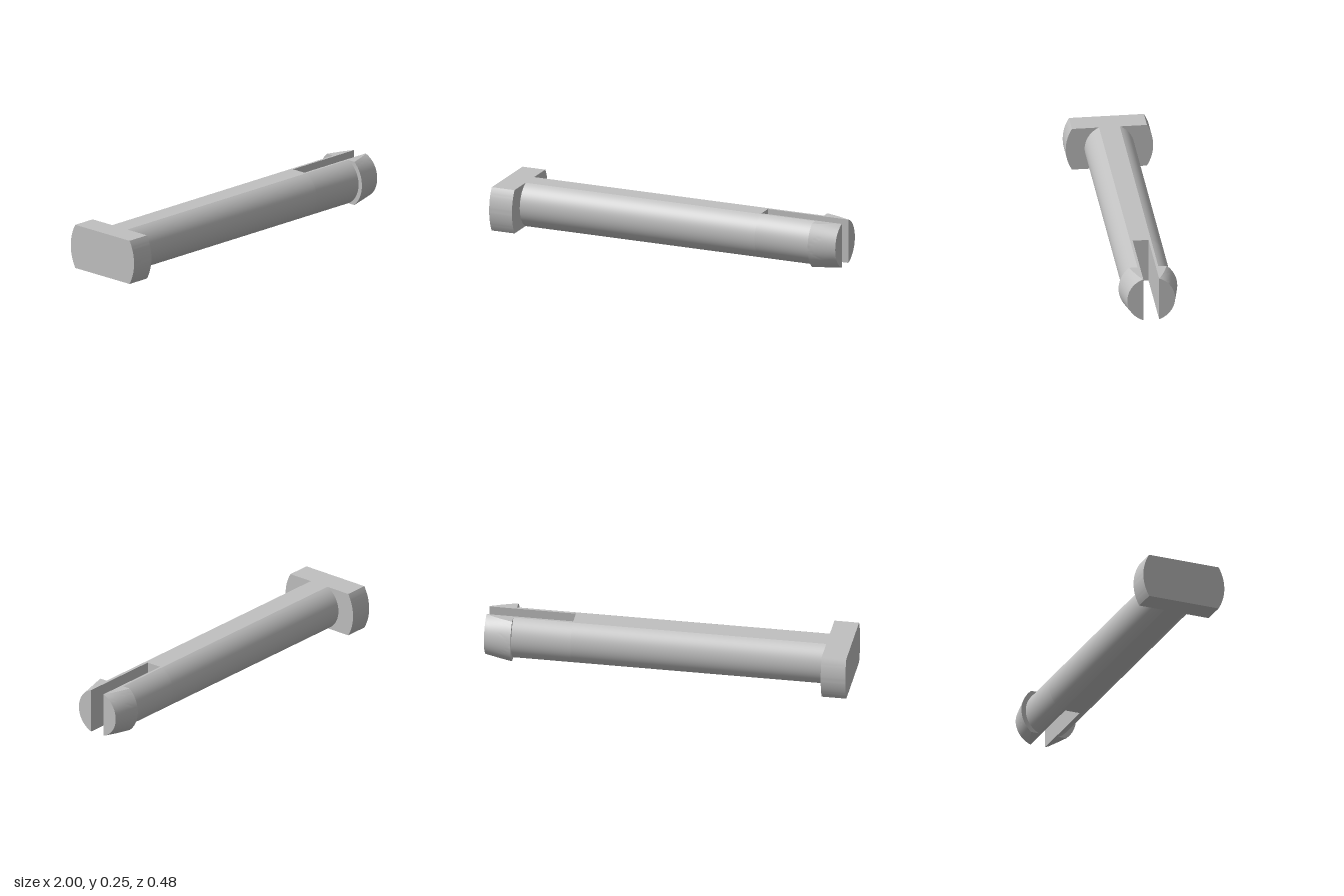
import * as THREE from 'three';
import { toCreasedNormals } from 'three/addons/utils/BufferGeometryUtils.js';

const H = 0.1225;    // half height between the two flats
const GAP = 0.043;   // half width of the slot
const STEPS = 28;

// Points [y, z] of a round section cut flat at y = +-H; a split one keeps only z > GAP
function section(r, split) {
  const a0 = Math.acos(H / r);
  const pts = [];
  const arc = (start) => {
    for (let i = 0; i <= STEPS; i++) {
      const a = start + a0 + (Math.PI - 2 * a0) * i / STEPS;
      pts.push([r * Math.cos(a), r * Math.sin(a)]);
    }
  };
  arc(0);
  if (split) pts.push([-H, GAP], [H, GAP]);
  else arc(Math.PI);
  return pts;
}

// Solid through sections at stations [x, radius], capped at both ends
function loft(stations, split) {
  const rings = stations.map(([x, r]) => section(r, split).map(([y, z]) => [x, y, z]));
  const n = rings[0].length;
  const pos = [];
  const tri = (a, b, c) => pos.push(...a, ...b, ...c);
  for (let s = 0; s < rings.length - 1; s++) {
    for (let i = 0; i < n; i++) {
      const j = (i + 1) % n;
      const [p, q] = [rings[s], rings[s + 1]];
      tri(p[i], p[j], q[j]);
      tri(p[i], q[j], q[i]);
    }
  }
  const first = rings[0];
  const last = rings[rings.length - 1];
  for (let i = 1; i < n - 1; i++) {
    tri(first[0], first[i + 1], first[i]);
    tri(last[0], last[i], last[i + 1]);
  }
  const geo = new THREE.BufferGeometry();
  geo.setAttribute('position', new THREE.Float32BufferAttribute(pos, 3));
  return toCreasedNormals(geo, 0.2);
}

export function createModel() {
  const model = new THREE.Group();
  model.name = 'clevisPin';
  const grey = new THREE.MeshStandardMaterial({ color: 0xc0c0c0 });
  grey.name = 'plainGrey';

  const add = (parent, name, geo) => {
    const mesh = new THREE.Mesh(geo, grey);
    mesh.name = name;
    parent.add(mesh);
  };

  const pin = new THREE.Group();
  pin.name = 'pin';
  pin.position.y = H;
  model.add(pin);

  // Wide head and solid shaft
  add(pin, 'head', loft([[-1, 0.238], [-0.865, 0.238]], false));
  add(pin, 'shaft', loft([[-0.865, 0.135], [0.525, 0.135]], false));

  // Two springy prongs, each ending in a tapered barb
  const taper = [];
  for (let i = 0; i <= 8; i++) taper.push([0.85 + 0.15 * i / 8, 0.16 - 0.03 * i / 8]);
  const prongGeo = loft([[0.525, 0.135], [0.85, 0.135]], true);
  const barbGeo = loft(taper, true);
  ['left', 'right'].forEach((side, i) => {
    const prong = new THREE.Group();
    prong.name = side + 'Prong';
    prong.rotation.x = Math.PI * i;
    add(prong, 'prongArm', prongGeo);
    add(prong, 'barb', barbGeo);
    pin.add(prong);
  });

  return model;
}
